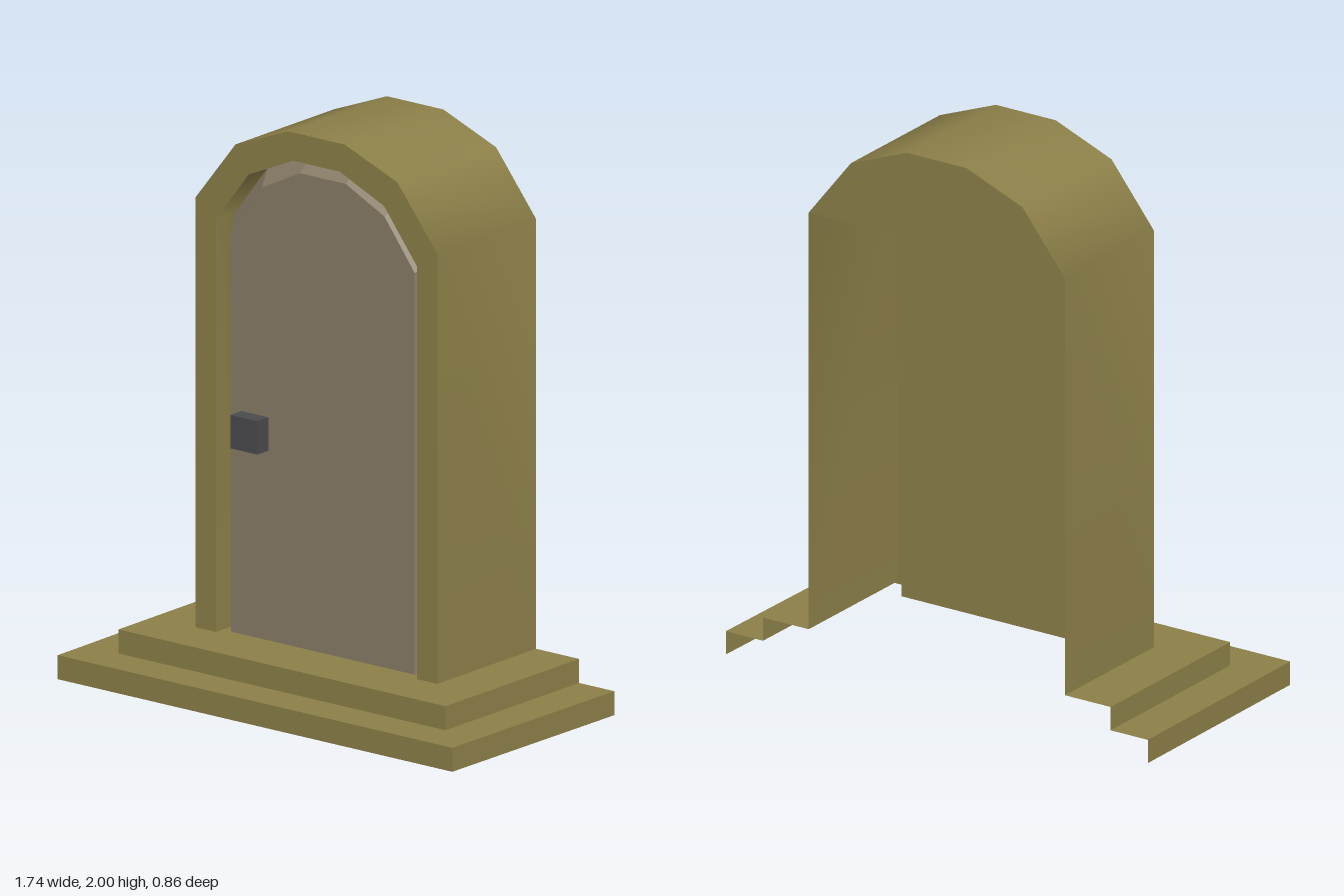
import * as THREE from 'three';

const material = (color) => new THREE.MeshStandardMaterial({ color, side: THREE.DoubleSide });

// Key levels
const FLOOR = 0.17, TREAD = 0.085;
const BACK = -0.43, FRONT = 0.1, PANEL = -0.005, DOOR = 0.065;

// Mirrors the right half of an arch, running from bottom right to bottom left
function arch(half) {
  return [...half, ...half.map(([x, y]) => [-x, y]).reverse()];
}
const OUTER = arch([[0.527, FLOOR], [0.527, 1.69], [0.353, 1.91], [0.123, 2]]);
const OPENING = arch([[0.438, FLOOR], [0.438, 1.63], [0.295, 1.815], [0.102, 1.9]]);
const LEAF = arch([[0.4, FLOOR], [0.4, 1.59], [0.268, 1.765], [0.1, 1.848]]);

const atZ = (points, z) => points.map(([x, y]) => [x, y, z]);
const atY = (points, y) => points.map(([x, z]) => [x, y, z]);

// Strip of quads between two paths of equal length
function strip(a, b, smooth) {
  const n = a.length, index = [];
  for (let i = 0; i < n - 1; i++) index.push(i, n + i, i + 1, i + 1, n + i, n + i + 1);
  let geometry = new THREE.BufferGeometry();
  geometry.setAttribute('position', new THREE.Float32BufferAttribute([...a, ...b].flat(), 3));
  geometry.setIndex(index);
  if (!smooth) geometry = geometry.toNonIndexed();
  geometry.computeVertexNormals();
  return geometry;
}

const toShape = (points) => new THREE.Shape(points.map(([x, y]) => new THREE.Vector2(x, y)));

// Upright flat sheet
function sheet(points, z) {
  return new THREE.ShapeGeometry(toShape(points)).translate(0, 0, z);
}

// Level flat sheet, outlined in x and z
function level(points, y) {
  return new THREE.ShapeGeometry(toShape(points.map(([x, z]) => [x, -z])))
    .rotateX(-Math.PI / 2).translate(0, y, 0);
}

// U-shaped plan, open at the back
const plan = (backX, frontX, z) => [[backX, BACK], [frontX, z], [-frontX, z], [-backX, BACK]];

export function createModel() {
  const model = new THREE.Group();
  const stone = material(0x8b7f48);
  const wood = material(0x897d67);
  const iron = material(0x4a4a4e);

  const group = (name) => {
    const g = new THREE.Group();
    g.name = name;
    model.add(g);
    return g;
  };
  const add = (parent, name, geometry, mat) => {
    const mesh = new THREE.Mesh(geometry, mat);
    mesh.name = name;
    parent.add(mesh);
  };

  // Hollow steps wrapping three sides, open at the back
  const steps = group('steps');
  const lower = plan(0.868, 0.86, 0.43);
  const upper = plan(0.715, 0.713, 0.285);
  const wall = plan(0.527, 0.527, FRONT);
  add(steps, 'lowerRiser', strip(atY(lower, 0), atY(lower, TREAD)), stone);
  add(steps, 'lowerTread', level([...lower, ...[...upper].reverse()], TREAD), stone);
  add(steps, 'upperRiser', strip(atY(upper, TREAD), atY(upper, FLOOR)), stone);
  add(steps, 'upperTread', level([...upper, ...[...wall].reverse()], FLOOR), stone);
  add(steps, 'threshold', level([[0.438, PANEL], [0.438, FRONT], [-0.438, FRONT], [-0.438, PANEL]], FLOOR), stone);

  // Arched surround: outer shell, front face, reveal and backing
  const surround = group('archedSurround');
  add(surround, 'shell', strip(atZ(OUTER, FRONT), atZ(OUTER, BACK), true), stone);
  add(surround, 'frontFace', sheet([...OUTER, ...[...OPENING].reverse()], FRONT), stone);
  add(surround, 'reveal', strip(atZ(OPENING, PANEL), atZ(OPENING, FRONT), true), stone);
  add(surround, 'backingPanel', sheet(OPENING, PANEL), stone);
  // Rear cap closes only the curved top
  add(surround, 'rearCap', sheet(OUTER.slice(1, -1), 0).rotateY(Math.PI).translate(0, 0, BACK), stone);

  // Door leaf with chamfered edge
  const door = group('door');
  add(door, 'leaf', sheet(LEAF, DOOR), wood);
  add(door, 'chamfer', strip(atZ(LEAF, DOOR), atZ(OPENING, PANEL + 0.002)), wood);

  // Handle
  add(door, 'handle', new THREE.BoxGeometry(0.118, 0.118, 0.06).translate(-0.296, 0.9, DOOR + 0.03), iron);

  return model;
}
